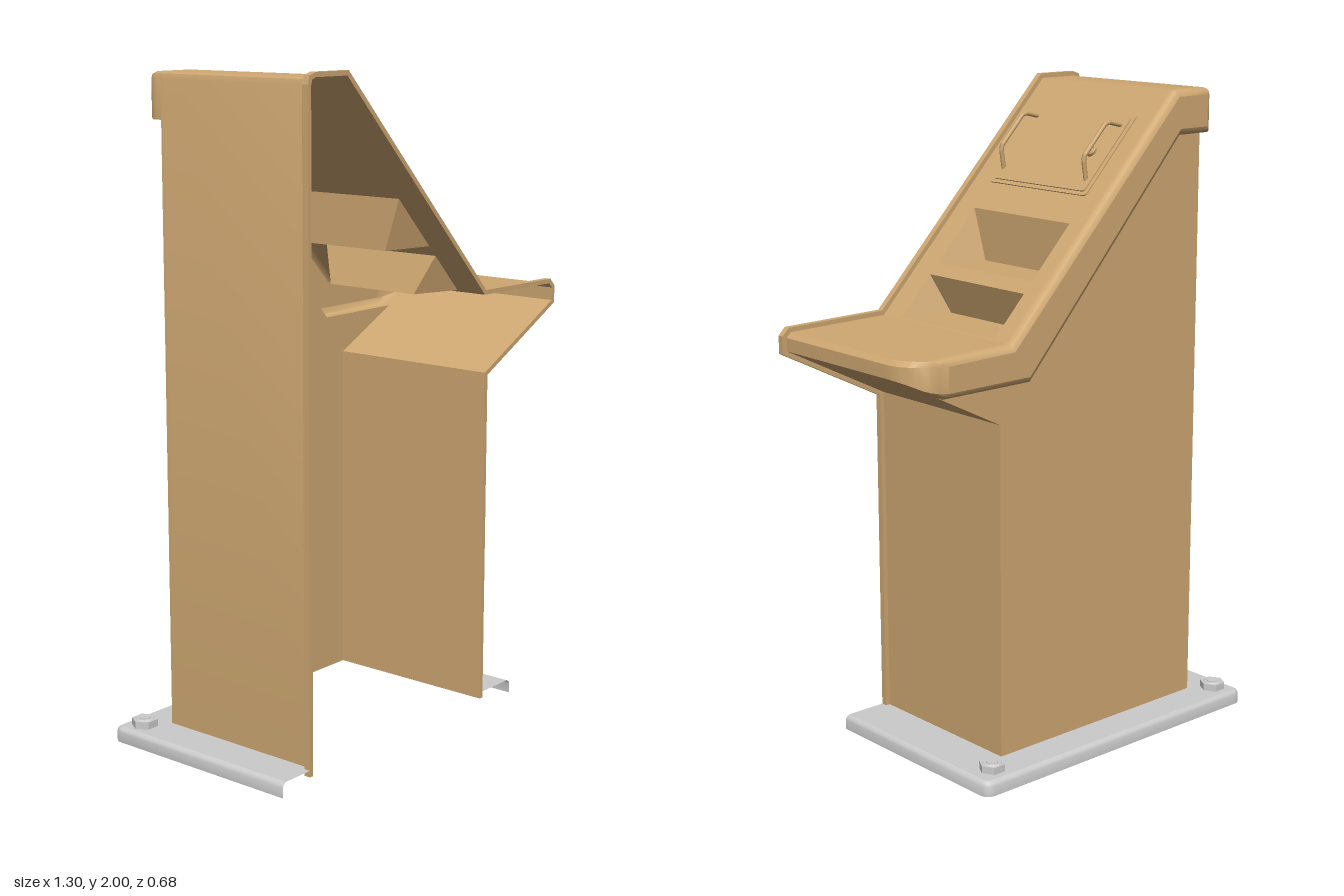
import * as THREE from 'three';
import { toCreasedNormals } from 'three/addons/utils/BufferGeometryUtils.js';

const tan = new THREE.MeshStandardMaterial({ color: 0xcfa872, side: THREE.DoubleSide });
const grey = new THREE.MeshStandardMaterial({ color: 0xcccccc, side: THREE.DoubleSide });

function add(parent, name, geo, mat, x = 0, y = 0, z = 0) {
  const m = new THREE.Mesh(geo, mat);
  m.name = name;
  m.position.set(x, y, z);
  parent.add(m);
  return m;
}

// Mitred inward offset of a clockwise path
function inset(pts, d, closed = false) {
  const n = pts.length;
  const normal = (a, b) => {
    const l = Math.hypot(b[0] - a[0], b[1] - a[1]);
    return [-(b[1] - a[1]) / l, (b[0] - a[0]) / l];
  };
  return pts.map((p, i) => {
    const prev = closed || i > 0 ? pts[(i + n - 1) % n] : null;
    const next = closed || i < n - 1 ? pts[(i + 1) % n] : null;
    const a = prev ? normal(prev, p) : normal(p, next);
    const b = next ? normal(p, next) : a;
    const k = d / (1 + a[0] * b[0] + a[1] * b[1]);
    return [p[0] - (a[0] + b[0]) * k, p[1] - (a[1] + b[1]) * k];
  });
}

// Surface through rows of 3D points; skip leaves out one column of faces
function skin(rows, closed = false, skip = -1) {
  const pos = [];
  const n = rows[0].length;
  for (let r = 0; r < rows.length - 1; r++) {
    for (let i = 0; i < (closed ? n : n - 1); i++) {
      if (i === skip) continue;
      const j = (i + 1) % n;
      const [a, b, c, d] = [rows[r][i], rows[r][j], rows[r + 1][j], rows[r + 1][i]];
      pos.push(...a, ...b, ...c, ...a, ...c, ...d);
    }
  }
  const g = new THREE.BufferGeometry();
  g.setAttribute('position', new THREE.Float32BufferAttribute(pos, 3));
  return toCreasedNormals(g, 0.65);
}

const shape = pts => new THREE.Shape(pts.map(p => new THREE.Vector2(...p)));
const atZ = (pts, z) => pts.map(p => [p[0], p[1], z]);

// Shelf end follows a rounded corner towards the back
const shelfEnd = z => Math.max(0.53, 0.515 + 0.12 * Math.sqrt(Math.max(0, 1 - (Math.min(0, z + 0.15) / 0.12) ** 2)));
const T0 = [-0.375, 1.985], T1 = [0.275, 1.31];
const crown = [[-0.525, 1.965], [-0.52, 1.98], [-0.505, 1.985], T0, T1];
const shelf = z => {
  const e = shelfEnd(z);
  return [[e - 0.015, 1.305], [e, 1.29], [e, 1.07 + (e - 0.28) * 0.507]];
};
const bodyPath = z => [[-0.525, 0.025], ...crown, ...shelf(z), [0.28, 1.07], [0.28, 0.025]];
const hoodLoop = z => [[-0.525, 1.85], ...crown, ...shelf(z), [0.517, 1.19], [0.2, 1.19], [-0.4, 1.85]];

function buildBody(g) {
  // Side walls, top, shelf and shelf underside
  const zs = [0.34, -0.15, -0.17, -0.19, -0.205, -0.22];
  add(g, 'bodyWalls', skin(zs.map(z => atZ(bodyPath(z), z)), false, 4), tan);
  add(g, 'backPanel', new THREE.ShapeGeometry(shape([[-0.525, 0.025], [-0.525, 1.85], [-0.4, 1.85],
    [0.2, 1.19], [0.517, 1.19], [0.28, 1.07], [0.28, 0.025]])).rotateY(Math.PI).scale(-1, 1, 1), tan, 0, 0, -0.22);

  // Raised hood at the back with softened edge
  const rows = [[-0.22, 0], [-0.235, 0], [-0.25, 0], [-0.258, 0.003], [-0.265, 0.009], [-0.27, 0.02]]
    .map(([z, d]) => atZ(inset(hoodLoop(z), d, true), z));
  add(g, 'hoodEdge', skin(rows, true), tan);
  add(g, 'hoodBack', new THREE.ShapeGeometry(shape(rows[5].map(p => [p[0], p[1]]))), tan, 0, 0, -0.27);

  // Rim around the open front
  const inner = bodyPath(0.34);
  const rim = shape([...inset(inner, -0.014), ...inner.reverse()]);
  add(g, 'frontRim', new THREE.ExtrudeGeometry(rim, { depth: 0.02, bevelEnabled: false }), tan, 0, 0, 0.32);
}

const slopeAngle = Math.atan2(T1[1] - T0[1], T1[0] - T0[0]);
const slopeY = x => T0[1] + (x - T0[0]) * Math.tan(slopeAngle);

function buildSlope(g) {
  const zA = 0.24, zB = -0.185;
  const pockets = [
    { x0: -0.02, x1: 0.127, inner: [-0.02, 1.46] },
    { x0: 0.158, x1: 0.27, inner: [0.118, slopeY(0.27)] },
  ];
  // Sloped panel with pocket openings, drawn in (distance along slope, -z)
  const u = x => (x - T0[0]) / Math.cos(slopeAngle);
  const rect = (x0, x1, za, zb) => [[u(x0), -za], [u(x1), -za], [u(x1), -zb], [u(x0), -zb]];
  const s = shape(rect(T0[0], T1[0], 0.34, -0.22));
  for (const p of pockets) s.holes.push(shape(rect(p.x0, p.x1, zA, zB)));
  const panel = add(g, 'slopedPanel', new THREE.ShapeGeometry(s).rotateX(-Math.PI / 2), tan, T0[0], T0[1], 0);
  panel.rotation.z = slopeAngle;

  // Pockets: back wall, floor and two slanted cheeks
  for (const p of pockets) {
    const top = [p.x0, slopeY(p.x0)], low = [p.x1, slopeY(p.x1)];
    const row = (z, zi) => [[...top, z], [...p.inner, zi], [...low, z]];
    const a = row(zA, zA - 0.05), b = row(zB, zB + 0.05);
    add(g, 'pocket', skin([a, b]), tan);
    for (const r of [a, b]) {
      add(g, 'pocketCheek', skin([[r[0], r[1]], [r[0], r[2]]]), tan);
    }
  }
}

function roundedPlate(w, h, r, t) {
  const s = new THREE.Shape();
  const x = w / 2, y = h / 2;
  s.absarc(x - r, y - r, r, 0, Math.PI / 2);
  s.absarc(-x + r, y - r, r, Math.PI / 2, Math.PI);
  s.absarc(-x + r, -y + r, r, Math.PI, Math.PI * 1.5);
  s.absarc(x - r, -y + r, r, Math.PI * 1.5, Math.PI * 2);
  return new THREE.ExtrudeGeometry(s, { depth: t, bevelEnabled: false, curveSegments: 4 }).rotateX(-Math.PI / 2);
}

function buildDoor(g) {
  const door = new THREE.Group();
  door.name = 'door';
  door.position.set(-0.195, slopeY(-0.195), 0.035);
  door.rotation.z = slopeAngle;
  g.add(door);
  add(door, 'doorFrame', roundedPlate(0.305, 0.43, 0.012, 0.004), tan);
  add(door, 'doorLeaf', roundedPlate(0.28, 0.405, 0.01, 0.008), tan);
  // Lock
  add(door, 'lockBarrel', new THREE.CylinderGeometry(0.018, 0.018, 0.01, 20), tan, 0, 0.011, -0.135);
  add(door, 'lockRing', new THREE.TorusGeometry(0.015, 0.004, 8, 20).rotateX(Math.PI / 2), tan, 0, 0.016, -0.135);
  add(door, 'lockTab', new THREE.BoxGeometry(0.022, 0.01, 0.006), tan, 0, 0.018, -0.135);
  // Bent bar handles
  const bar = new THREE.CurvePath();
  const pts = [[-0.11, 0], [-0.083, 0.046], [-0.068, 0.056], [0.052, 0.056], [0.066, 0.046], [0.1, 0]]
    .map(p => new THREE.Vector3(p[0], p[1], 0));
  for (let i = 0; i < pts.length - 1; i++) bar.add(new THREE.LineCurve3(pts[i], pts[i + 1]));
  for (const z of [-0.18, 0.185]) {
    add(door, 'handle', new THREE.TubeGeometry(bar, 40, 0.007, 8), tan, 0, 0.004, z);
  }
}

function buildBase(g) {
  // Flanged sheet frame, drawn in (x, -z)
  const path = [[-0.655, -0.34]];
  for (const [cx, cy, a0] of [[-0.625, 0.31, Math.PI], [0.41, 0.31, Math.PI / 2]]) {
    for (let i = 0; i <= 5; i++) {
      const a = a0 - i * Math.PI / 10;
      path.push([cx + 0.03 * Math.cos(a), cy + 0.03 * Math.sin(a)]);
    }
  }
  path.push([0.44, -0.34]);
  const rows = [[0, 0], [0, 0.03], [0.004, 0.039], [0.014, 0.045]]
    .map(([d, y]) => inset(path, d).map(p => [p[0], y, -p[1]]));
  add(g, 'baseSkirt', skin(rows), grey);
  const opening = [[0.28, -0.34], [0.28, 0.22], [-0.525, 0.22], [-0.525, -0.34]];
  add(g, 'basePlate', new THREE.ShapeGeometry(shape([...inset(path, 0.014), ...opening])).rotateX(-Math.PI / 2), grey, 0, 0.045, 0);

  // Anchor bolts
  for (const x of [-0.59, 0.36]) {
    const bolt = new THREE.Group();
    bolt.name = 'anchorBolt';
    bolt.position.set(x, 0.045, -0.27);
    g.add(bolt);
    const hex = new THREE.CylinderGeometry(0.04, 0.04, 0.022, 6).rotateY(Math.PI / 6).toNonIndexed();
    hex.computeVertexNormals();
    add(bolt, 'nut', hex, grey, 0, 0.011, 0);
    add(bolt, 'nutCollar', new THREE.CylinderGeometry(0.026, 0.03, 0.004, 20), grey, 0, 0.023, 0);
    add(bolt, 'stud', new THREE.CylinderGeometry(0.018, 0.018, 0.026, 20), grey, 0, 0.014, 0);
  }
}

export function createModel() {
  const g = new THREE.Group();
  g.name = 'consoleHalfShell';
  buildBody(g);
  buildSlope(g);
  buildDoor(g);
  buildBase(g);
  return g;
}
